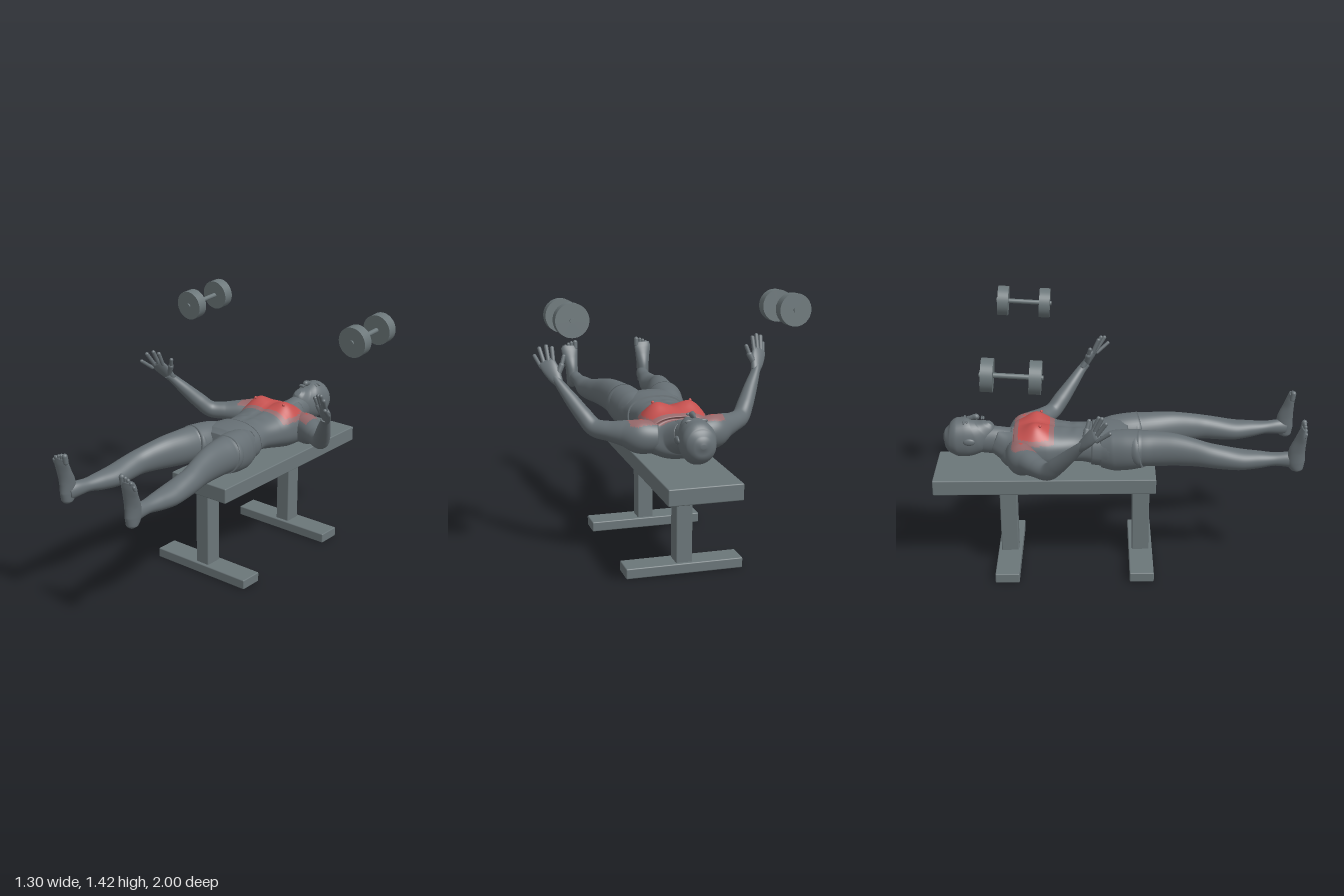
import * as THREE from 'three';
import { RoundedBoxGeometry } from 'three/addons/geometries/RoundedBoxGeometry.js';

const mat = (name, color) => Object.assign(new THREE.MeshStandardMaterial({ color }), { name });
const V = (a) => new THREE.Vector3(a[0], a[1], a[2]);

export function createModel() {
  const root = new THREE.Group();
  root.name = 'benchFlyExercise';
  const steel = mat('benchGrey', 0x6b7679);
  const skin = mat('bodyGrey', 0x666f74);
  const red = mat('muscleRed', 0xc4504e);
  const pale = mat('muscleFade', 0x95686a);
  const bodyMats = [skin, red, pale];

  const add = (name, geo, material, parent = root, pos = [0, 0, 0]) => {
    const m = new THREE.Mesh(geo, material);
    m.name = name;
    m.position.set(...pos);
    parent.add(m);
    return m;
  };

  // Worked chest muscle: red centre with a faded border
  const zone = (x, y, z) => {
    if (Math.abs(x) > 0.25 || y < 0.76 || z < -0.566 || z > -0.34) return 0;
    return y > 0.785 && z > -0.535 && z < -0.368 ? 1 : 2;
  };

  // Smooth tube through sections [x, y, z, radiusU, radiusV]; radiusV lies along ref
  function loft(sections, ref, { e = 1, seg = 40, sub = 8, shape, zones } = {}) {
    const path = new THREE.CatmullRomCurve3(sections.map(V));
    const radii = new THREE.CatmullRomCurve3(sections.map((s) => new THREE.Vector3(s[3], s[4], 0)));
    const n = (sections.length - 1) * sub;
    const pos = [];
    const lists = [[], [], []];
    const pw = (c) => Math.sign(c) * Math.abs(c) ** e;
    for (let i = 0; i <= n; i++) {
      const c = path.getPoint(i / n), t = path.getTangent(i / n), r = radii.getPoint(i / n);
      const v = ref.clone().addScaledVector(t, -ref.dot(t)).normalize();
      const u = v.clone().cross(t);
      for (let j = 0; j < seg; j++) {
        const a = (j / seg) * Math.PI * 2;
        const p = c.clone().addScaledVector(u, pw(Math.cos(a)) * r.x).addScaledVector(v, pw(Math.sin(a)) * r.y);
        if (shape) shape(p);
        pos.push(p.x, p.y, p.z);
      }
    }
    const tri = (...ids) => {
      const mid = (k) => ids.reduce((sum, id) => sum + pos[id * 3 + k], 0) / 3;
      lists[zones ? zone(mid(0), mid(1), mid(2)) : 0].push(...ids);
    };
    const first = pos.length / 3, last = first + 1;
    pos.push(...path.getPoint(0).toArray(), ...path.getPoint(1).toArray());
    for (let j = 0; j < seg; j++) {
      const k = (j + 1) % seg;
      for (let i = 0; i < n; i++) {
        const a = i * seg + j, b = i * seg + k;
        tri(a, b, b + seg);
        tri(a, b + seg, a + seg);
      }
      tri(first, k, j);
      tri(last, n * seg + j, n * seg + k);
    }
    const geo = new THREE.BufferGeometry();
    geo.setAttribute('position', new THREE.Float32BufferAttribute(pos, 3));
    geo.setIndex(lists.flat());
    let start = 0;
    lists.forEach((l, i) => { if (l.length) geo.addGroup(start, l.length, i); start += l.length; });
    geo.computeVertexNormals();
    return geo;
  }

  // Rounded finger or toe between two points
  function digit(name, a, b, r, parent) {
    const p = V(a), q = V(b), d = q.clone().sub(p);
    const m = add(name, new THREE.CapsuleGeometry(r, d.length(), 6, 14), skin, parent);
    m.position.copy(p).addScaledVector(d, 0.5);
    m.quaternion.setFromUnitVectors(new THREE.Vector3(0, 1, 0), d.normalize());
  }
  const ball = (name, x, y, z, sx, sy, sz, material, parent) =>
    add(name, new THREE.SphereGeometry(1, 20, 14), material, parent, [x, y, z]).scale.set(sx, sy, sz);

  // Bench
  const bench = new THREE.Group();
  bench.name = 'bench';
  root.add(bench);
  const box = (name, w, h, d, y, z) => add(name, new RoundedBoxGeometry(w, h, d, 2, 0.006), steel, bench, [0, y, z]);
  box('benchPad', 0.38, 0.086, 1.208, 0.522, -0.396);
  for (const z of [0.13, -0.605]) {
    box('benchPost', 0.086, 0.45, 0.096, 0.265, z);
    box('benchFoot', 0.62, 0.055, 0.132, 0.0275, z);
  }

  // Dumbbells
  for (const s of [1, -1]) {
    const bell = new THREE.Group();
    bell.name = s > 0 ? 'leftDumbbell' : 'rightDumbbell';
    bell.position.set(s * 0.567, 1.323, -0.521);
    bell.rotation.x = 0.065;
    root.add(bell);
    const rod = (name, r, len, z) => {
      add(name, new THREE.CylinderGeometry(r, r, len, 40).rotateX(Math.PI / 2), steel, bell, [0, 0, z]);
    };
    rod('dumbbellBar', 0.013, 0.312, 0);
    for (const z of [0.117, -0.117]) rod('dumbbellWeight', 0.083, 0.06, z);
  }

  const man = new THREE.Group();
  man.name = 'lyingMan';
  root.add(man);
  const up = V([0, 1, 0]), front = V([0, 0, 1]);
  // Section from depth, half width, top and bottom heights
  const slab = ([z, w, top, bot]) => [0, (top + bot) / 2, z, w, (top - bot) / 2];

  // Torso with chest, breastbone and belly relief
  const g = (d, w) => Math.exp(-((d / w) ** 2));
  add('torso', loft([
    [-0.67, 0.06, 0.8, 0.66], [-0.61, 0.1, 0.79, 0.62], [-0.57, 0.16, 0.795, 0.585], [-0.52, 0.185, 0.812, 0.575],
    [-0.45, 0.187, 0.825, 0.577], [-0.38, 0.182, 0.82, 0.59], [-0.32, 0.165, 0.81, 0.604],
    [-0.21, 0.143, 0.802, 0.62], [-0.11, 0.158, 0.805, 0.605],
  ].map(slab), up, {
    e: 0.86, seg: 80, sub: 14, zones: true,
    shape: (p) => {
      if (p.y < 0.72) return;
      const x = Math.abs(p.x);
      p.y += 0.036 * g(x - 0.095, 0.065) * g(p.z + 0.44, 0.065);
      p.y -= 0.007 * g(x, 0.014) * g(p.z + 0.33, 0.17);
      p.y += 0.004 * g(x - 0.04, 0.03) * Math.cos((p.z + 0.3) * 75) * g(p.z + 0.25, 0.07);
    },
  }), bodyMats, man);
  add('shortsHips', loft([
    [-0.14, 0.159, 0.812, 0.602], [-0.09, 0.168, 0.815, 0.596], [-0.03, 0.186, 0.816, 0.594],
    [0.03, 0.18, 0.812, 0.605], [0.07, 0.12, 0.79, 0.64],
  ].map(slab), up, { e: 0.85 }), skin, man);

  // Neck, head and face
  add('neck', loft([
    [-0.59, 0.075, 0.79, 0.63], [-0.65, 0.062, 0.8, 0.645], [-0.71, 0.06, 0.805, 0.65], [-0.77, 0.06, 0.81, 0.66],
  ].map(slab), up), skin, man);
  add('head', loft([
    [-0.686, 0.018, 0.843, 0.805], [-0.697, 0.036, 0.853, 0.765], [-0.725, 0.056, 0.857, 0.7], [-0.765, 0.074, 0.857, 0.655],
    [-0.82, 0.085, 0.856, 0.634], [-0.87, 0.088, 0.85, 0.636], [-0.91, 0.075, 0.825, 0.66],
    [-0.936, 0.047, 0.79, 0.7], [-0.947, 0.012, 0.755, 0.735],
  ].map(slab), up, { e: 0.92 }), skin, man);
  add('nose', loft([
    [0, 0.848, -0.812, 0.007, 0.012], [0, 0.856, -0.785, 0.01, 0.015], [0, 0.86, -0.763, 0.016, 0.017],
    [0, 0.852, -0.75, 0.01, 0.008],
  ], up, { seg: 16 }), skin, man);
  ball('upperLip', 0, 0.855, -0.734, 0.022, 0.007, 0.005, skin, man);
  ball('lowerLip', 0, 0.854, -0.725, 0.019, 0.008, 0.006, skin, man);

  for (const s of [1, -1]) {
    const side = s > 0 ? 'left' : 'right';
    const part = (name) => {
      const group = new THREE.Group();
      group.name = side + name;
      man.add(group);
      return group;
    };
    const mir = (list) => list.map(([x, ...rest]) => [s * x, ...rest]);
    const at = ([x, y, z]) => [s * x, y, z];

    ball(side + 'Ear', s * 0.088, 0.748, -0.8, 0.011, 0.02, 0.032, skin, man);
    ball(side + 'Eye', s * 0.033, 0.842, -0.812, 0.014, 0.008, 0.007, skin, man);
    ball(side + 'Brow', s * 0.036, 0.843, -0.83, 0.022, 0.01, 0.006, skin, man);
    ball(side + 'Nipple', s * 0.1, 0.846, -0.415, 0.008, 0.008, 0.008, red, man);

    // Arm, palm and fingers
    const arm = part('Arm');
    add('armLimb', loft(mir([
      [0.11, 0.695, -0.53, 0.08, 0.075], [0.19, 0.698, -0.515, 0.088, 0.078], [0.26, 0.708, -0.47, 0.068, 0.066],
      [0.33, 0.712, -0.42, 0.052, 0.055], [0.395, 0.722, -0.365, 0.047, 0.047], [0.44, 0.777, -0.315, 0.043, 0.045],
      [0.49, 0.85, -0.255, 0.036, 0.036], [0.54, 0.925, -0.195, 0.024, 0.026], [0.555, 0.95, -0.17, 0.022, 0.024],
    ]), front, { sub: 12, seg: 48, zones: true }), bodyMats, arm);
    add('palm', loft(mir([
      [0.54, 0.925, -0.195, 0.02, 0.025], [0.558, 0.96, -0.168, 0.02, 0.037], [0.575, 0.995, -0.14, 0.018, 0.043],
      [0.588, 1.02, -0.12, 0.013, 0.041], [0.592, 1.03, -0.112, 0.006, 0.034],
    ]), V([-0.9 * s, 0.3, -0.25]), { seg: 28 }), skin, arm);
    digit('indexFinger', at([0.555, 1.02, -0.132]), at([0.555, 1.092, -0.1]), 0.011, arm);
    digit('middleFinger', at([0.578, 1.025, -0.122]), at([0.583, 1.1, -0.085]), 0.011, arm);
    digit('ringFinger', at([0.6, 1.015, -0.113]), at([0.615, 1.087, -0.065]), 0.011, arm);
    digit('littleFinger', at([0.615, 0.995, -0.108]), at([0.638, 1.045, -0.045]), 0.01, arm);
    digit('thumbBase', at([0.543, 0.96, -0.17]), at([0.518, 1.01, -0.16]), 0.016, arm);
    digit('thumbTip', at([0.518, 1.01, -0.16]), at([0.503, 1.055, -0.148]), 0.011, arm);

    // Leg with shorts
    const leg = part('Leg');
    add('shortsLeg', loft(mir([
      [0.095, 0.7, -0.09, 0.07, 0.095], [0.1, 0.702, -0.02, 0.09, 0.112], [0.108, 0.71, 0.05, 0.096, 0.112],
      [0.12, 0.722, 0.13, 0.094, 0.104],
    ]), up, { e: 0.95 }), skin, leg);
    add('legLimb', loft(mir([
      [0.112, 0.716, 0.06, 0.088, 0.1], [0.12, 0.722, 0.13, 0.088, 0.1], [0.127, 0.724, 0.2, 0.081, 0.098],
      [0.145, 0.725, 0.3, 0.07, 0.091], [0.168, 0.719, 0.4, 0.061, 0.078], [0.186, 0.71, 0.48, 0.06, 0.068],
      [0.191, 0.7, 0.55, 0.063, 0.064], [0.194, 0.688, 0.65, 0.066, 0.057], [0.2, 0.69, 0.75, 0.052, 0.047],
      [0.207, 0.695, 0.84, 0.038, 0.036], [0.213, 0.695, 0.91, 0.035, 0.042], [0.22, 0.69, 0.955, 0.032, 0.042],
    ]), up), skin, leg);

    // Foot and toes
    const foot = part('Foot');
    add('footBody', loft(mir([
      [0.225, 0.632, 0.957, 0.012, 0.014], [0.225, 0.645, 0.956, 0.028, 0.032], [0.225, 0.69, 0.947, 0.034, 0.048],
      [0.226, 0.75, 0.95, 0.037, 0.044], [0.229, 0.81, 0.965, 0.044, 0.031], [0.232, 0.855, 0.976, 0.05, 0.021],
      [0.231, 0.885, 0.982, 0.044, 0.012],
    ]), front), skin, foot);
    for (let i = 0; i < 5; i++) {
      const x = 0.195 + i * 0.0185 + (i ? 0.005 : 0), r = i ? 0.0105 - i * 0.0004 : 0.0145;
      digit('toe', at([x, 0.868 - i * 0.004, 0.98]), at([x, 0.902 - i * i * 0.0022, 0.985]), r, foot);
    }
  }
  return root;
}
